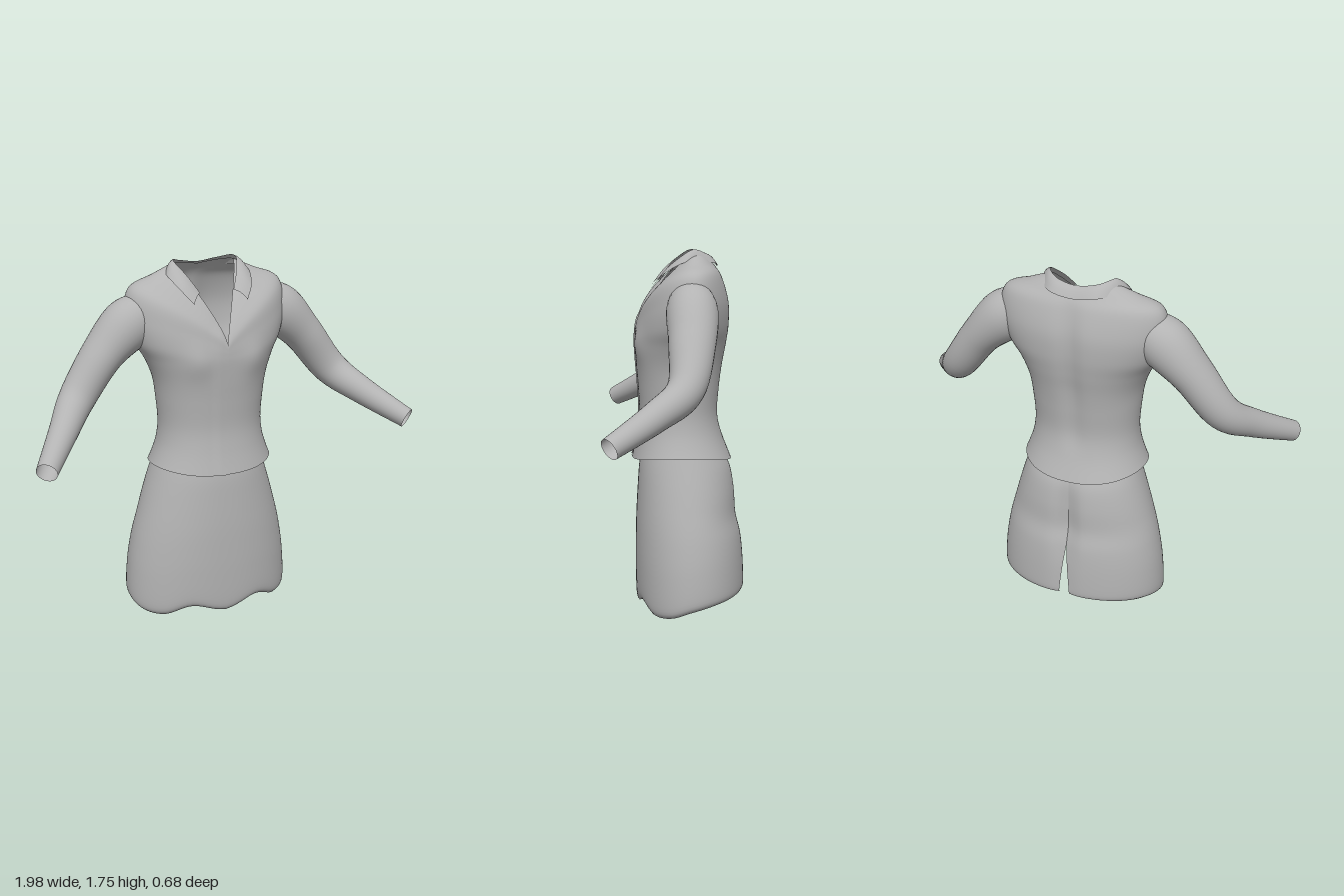
import * as THREE from 'three';

// Smooth interpolation through a list of equal-length number rows, u in 0..1
function sample(rows, u) {
  const n = rows.length - 1, f = Math.min(Math.max(u, 0), 1) * n;
  const i = Math.min(Math.floor(f), n - 1), t = f - i;
  const at = (k) => rows[Math.min(Math.max(k, 0), n)];
  const [a, b, c, d] = [at(i - 1), at(i), at(i + 1), at(i + 2)];
  return b.map((p, k) => p + 0.5 * t * (c[k] - a[k] +
    t * (2 * a[k] - 5 * p + 4 * c[k] - d[k] + t * (3 * (p - c[k]) + d[k] - a[k]))));
}

// Open cloth surface: fn(u, v) gives [x, y, z]; u runs along rings, v around them
function cloth(name, material, nu, nv, fn, weld = false) {
  const pos = [], index = [];
  for (let i = 0; i <= nu; i++) {
    for (let j = 0; j < (weld ? nv : nv + 1); j++) pos.push(...fn(i / nu, j / nv));
  }
  const w = weld ? nv : nv + 1;
  for (let i = 0; i < nu; i++) {
    for (let j = 0; j < nv; j++) {
      const k = (j + 1) % w;
      const a = i * w + j, b = i * w + k, c = a + w, d = b + w;
      index.push(a, b, c, b, d, c);
    }
  }
  const g = new THREE.BufferGeometry();
  g.setAttribute('position', new THREE.Float32BufferAttribute(pos, 3));
  g.setIndex(index);
  g.computeVertexNormals();
  const mesh = new THREE.Mesh(g, material);
  mesh.name = name;
  return mesh;
}

// half width, front y, side y, back y, front z, side z, back z, vee, roundness, spine groove
const BLOUSE = [
  [0.312, 0.74, 0.74, 0.735, 0.203, -0.03, -0.287, 0, 0.85, 0.00],
  [0.280, 0.85, 0.85, 0.85, 0.180, -0.03, -0.242, 0, 0.85, 0.00],
  [0.264, 0.96, 0.96, 0.96, 0.167, -0.03, -0.220, 0, 0.85, 0.01],
  [0.273, 1.09, 1.09, 1.09, 0.173, -0.03, -0.228, 0, 0.85, 0.015],
  [0.290, 1.20, 1.20, 1.20, 0.182, -0.03, -0.242, 0, 0.85, 0.02],
  [0.330, 1.29, 1.30, 1.30, 0.188, -0.04, -0.260, 0, 0.88, 0.02],
  [0.385, 1.33, 1.39, 1.40, 0.188, -0.06, -0.272, 0.05, 0.92, 0.02],
  [0.415, 1.35, 1.51, 1.51, 0.187, -0.08, -0.270, 0.12, 1, 0.02],
  [0.390, 1.365, 1.635, 1.62, 0.186, -0.085, -0.237, 0.25, 1, 0.01],
  [0.270, 1.375, 1.688, 1.675, 0.184, -0.09, -0.203, 0.5, 1, 0],
  [0.160, 1.380, 1.735, 1.712, 0.180, -0.10, -0.167, 0.8, 1, 0],
];

function blousePoint(u, v) {
  const [w, yF, yS, yB, zF, zS, zB, vee, e, groove] = sample(BLOUSE, u);
  const a = v * Math.PI * 2, s = Math.abs(Math.sin(a)), c = Math.cos(a), front = c >= 0;
  const x = Math.sign(Math.sin(a)) * w * Math.pow(s, e);
  let y = front ? yF + (yS - yF) * Math.pow(s, 0.78) : yB + (yS - yB) * s;
  y += 0.03 * s * s * Math.max(0, 1 - u * 8);
  let z = front ? zS + (zF - zS) * (c * (1 - vee) + (1 - s) * vee) : zS - (zB - zS) * c;
  if (front) {
    // bust shaping and overlapping front edge
    z += 0.014 * Math.exp(-(((Math.abs(x) - 0.15) / 0.07) ** 2) - ((y - 1.3) / 0.08) ** 2);
    if (v > 0.97) z += 0.005;
  } else z += groove * Math.exp(-((x / 0.05) ** 2));
  return [x, y, z];
}

// y, half width, front z, back z, back groove
const SKIRT = [
  [0.00, 0.405, 0.168, -0.348, 0.012],
  [0.04, 0.428, 0.183, -0.352, 0.015],
  [0.20, 0.420, 0.187, -0.347, 0.02],
  [0.34, 0.400, 0.186, -0.335, 0.03],
  [0.46, 0.374, 0.183, -0.312, 0.035],
  [0.59, 0.338, 0.176, -0.304, 0.03],
  [0.70, 0.304, 0.168, -0.284, 0.015],
  [0.78, 0.278, 0.155, -0.245, 0],
];
// hem height at even steps from front centre to back centre
const HEM = [[0.003], [0.048], [0.008], [0.012], [0.045], [0.07], [0.085], [0.095], [0.1]];

function skirtPoint(u, v) {
  const [y0, w, zF, zB, groove] = sample(SKIRT, u);
  const slit = 0.045 * Math.max(0, 1 - y0 / 0.33);
  const a = (v * 2 - 1) * (Math.PI - slit), s = Math.sin(a), c = Math.cos(a);
  const x = Math.sign(s) * w * Math.pow(Math.abs(s), 0.88), zS = -0.07;
  const y = y0 + sample(HEM, Math.abs(a) / Math.PI)[0] * Math.max(0, 1 - y0 / 0.5);
  const z = c > 0 ? zS + (zF - zS) * c : zS - (zB - zS) * c + groove * Math.exp(-((x / 0.05) ** 2));
  return [x, y, z];
}

// centre x, y, z, radius in the arm's plane, radius front to back
const SLEEVE = [
  [0.28, 1.535, -0.075, 0.085, 0.09],
  [0.40, 1.470, -0.076, 0.125, 0.120],
  [0.54, 1.335, -0.070, 0.100, 0.108],
  [0.685, 1.145, -0.035, 0.087, 0.085],
  [0.80, 1.040, 0.100, 0.069, 0.069],
  [0.95, 0.925, 0.297, 0.050, 0.051],
];

function sleevePoint(u, v, side) {
  const p = sample(SLEEVE, u);
  const near = sample(SLEEVE, u - 0.03), far = sample(SLEEVE, u + 0.03);
  const t = new THREE.Vector3(far[0] - near[0], far[1] - near[1], far[2] - near[2]).normalize();
  const n = new THREE.Vector3(0.78, 0.62, 0);
  n.addScaledVector(t, -n.dot(t)).normalize();
  const b = new THREE.Vector3().crossVectors(t, n);
  const a = v * Math.PI * 2 * side;
  const q = new THREE.Vector3(p[0], p[1], p[2])
    .addScaledVector(n, Math.cos(a) * p[3]).addScaledVector(b, Math.sin(a) * p[4]);
  return [q.x * side, q.y, q.z];
}

// Collar: fold line and outer edge, from front tip to back centre
const FOLD = [[0.088, 1.615, 0.058], [0.130, 1.690, 0.000], [0.163, 1.752, -0.085],
  [0.100, 1.737, -0.152], [0, 1.722, -0.166]];
const EDGE = [[0.140, 1.572, 0.106], [0.190, 1.640, 0.048], [0.212, 1.697, -0.065],
  [0.130, 1.690, -0.195], [0, 1.674, -0.214]];
const mirrored = (half) => [...half, ...half.slice(0, -1).reverse().map(([x, y, z]) => [-x, y, z])];

export function createModel() {
  const group = new THREE.Group();
  const fabric = new THREE.MeshStandardMaterial({ color: 0xb3b3b3, side: THREE.DoubleSide });
  fabric.name = 'grey fabric';

  group.add(cloth('blouseBody', fabric, 60, 96, blousePoint));
  group.add(cloth('skirt', fabric, 42, 96, skirtPoint));

  for (const side of [1, -1]) {
    group.add(cloth(side > 0 ? 'leftSleeve' : 'rightSleeve', fabric, 40, 32,
      (u, v) => sleevePoint(u, v, side), true));
  }

  // Collar leaf bulges slightly between the fold and its outer edge
  const fold = mirrored(FOLD), edge = mirrored(EDGE);
  group.add(cloth('collar', fabric, 6, 64, (u, v) => {
    const f = sample(fold, v), e = sample(edge, v);
    const lift = 0.01 * Math.sin(Math.PI * u);
    return [f[0] + (e[0] - f[0]) * u, f[1] + (e[1] - f[1]) * u + lift, f[2] + (e[2] - f[2]) * u];
  }));
  return group;
}
